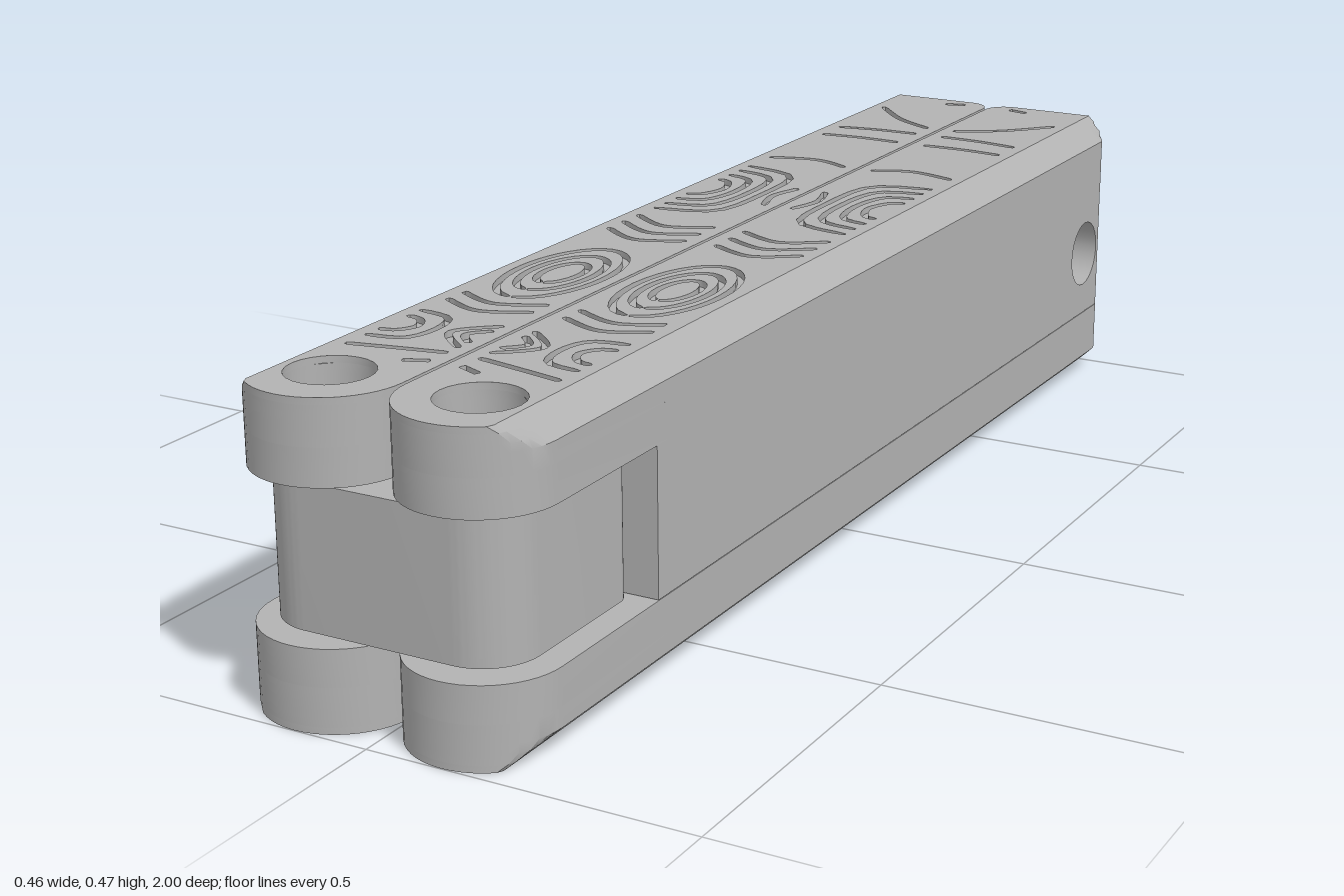
import * as THREE from 'three';
import { toCreasedNormals } from 'three/addons/utils/BufferGeometryUtils.js';

const H = 0.467;                       // overall height
const IN = 0.003, OUT = 0.231;         // inner and outer faces of a handle
const PX = 0.117, PZ = 0.885;          // pivot centre
const R = 0.04;                        // rounding of the rear corners

// Circle path in shape coordinates
const circle = (x, y, r) => new THREE.Path().absarc(x, y, r, 0, Math.PI * 2, true);

// Hexagon path around the pivot
function hexagon(r) {
  const pts = [];
  for (let i = 0; i < 6; i++) {
    const a = -i * Math.PI / 3;
    pts.push(new THREE.Vector2(PX + r * Math.cos(a), -PZ + r * Math.sin(a)));
  }
  return new THREE.Path(pts);
}

// Plan outline of one handle, drawn as (x, -z)
function handleShape(holes) {
  const s = new THREE.Shape();
  s.absarc(PX, -PZ, 0.114, Math.PI, Math.PI * 2, false);
  s.absarc(OUT - R, 1 - R, R, 0, Math.PI / 2, false);
  s.absarc(IN + R, 1 - R, R, Math.PI / 2, Math.PI, false);
  s.closePath();
  s.holes = holes;
  return s;
}

// Extrude through a list of levels, then apply a rule to every vertex
function extrude(shape, levels, alongX, rule) {
  const n = levels.length - 1;
  const g = new THREE.ExtrudeGeometry(shape, { depth: 1, steps: n, bevelEnabled: false, curveSegments: 12 });
  const p = g.attributes.position;
  for (let i = 0; i < p.count; i++) {
    const level = levels[Math.round(p.getZ(i) * n)];
    const v = alongX
      ? new THREE.Vector3(level, p.getY(i), -p.getX(i))
      : new THREE.Vector3(p.getX(i), level, -p.getY(i));
    if (rule) rule(v);
    p.setXYZ(i, v.x, v.y, v.z);
  }
  return g;
}

// Mirror a triangle soup in x and/or y, keeping faces outward
function mirrored(geo, sx, sy) {
  const g = geo.index ? geo.toNonIndexed() : geo.clone();
  const p = g.attributes.position;
  for (let i = 0; i < p.count; i++) {
    p.setXYZ(i, sx * p.getX(i), sy < 0 ? H - p.getY(i) : p.getY(i), p.getZ(i));
  }
  if (sx * sy < 0) {
    const a = new THREE.Vector3(), b = new THREE.Vector3();
    for (let i = 0; i < p.count; i += 3) {
      a.fromBufferAttribute(p, i + 1);
      b.fromBufferAttribute(p, i + 2);
      p.setXYZ(i + 1, b.x, b.y, b.z);
      p.setXYZ(i + 2, a.x, a.y, a.z);
    }
  }
  g.deleteAttribute('uv');
  g.computeVertexNormals();
  return toCreasedNormals(g, 0.5);
}

// Straight chamfer along the outer edge
const chamfer = v => { v.x = Math.min(v.x, OUT - Math.max(0, v.y - 0.43) * 1.08); };

// Rounded rear corners for parts extruded sideways
function roundRear(v) {
  const d = Math.max(0, R - Math.min(v.x - IN, OUT - v.x));
  v.z = Math.max(v.z, -1 + R - Math.sqrt(Math.max(0, R * R - d * d)));
}

// Thin closed path around a flowing line given as x, z pairs
function groove(c) {
  const pts = [];
  for (let i = 0; i < c.length; i += 2) pts.push(new THREE.Vector2(c[i], -c[i + 1]));
  const curve = new THREE.SplineCurve(pts), left = [], right = [], n = c.length > 12 ? 32 : 14;
  for (let i = 0; i <= n; i++) {
    const p = curve.getPoint(i / n), t = curve.getTangent(i / n);
    const w = i === 0 || i === n ? 0.003 : 0.0055;
    left.push(new THREE.Vector2(p.x - t.y * w, p.y + t.x * w));
    right.unshift(new THREE.Vector2(p.x + t.y * w, p.y - t.x * w));
  }
  return new THREE.Path([...left, ...right]);
}

// Engraved contour lines of one handle face
function contourLines() {
  const lines = [
    [0.045, -0.975, 0.08, -0.965],
    [0.17, -0.885, 0.1, -0.81, 0.025, -0.765],
    [0.17, -0.7, 0.1, -0.712, 0.025, -0.715],
    [0.17, -0.635, 0.1, -0.642, 0.025, -0.64],
    [0.17, -0.435, 0.09, -0.455, 0.025, -0.43],
    [0.025, -0.26, 0.04, -0.2, 0.025, -0.14],
    [0.17, 0.78, 0.1, 0.765, 0.025, 0.75],
    [0.025, 0.79, 0.06, 0.805],
  ];
  const bay = (x, z, h) => lines.push([0.17, z - h, x + 0.015, z - 0.8 * h, x, z, x + 0.015, z + 0.8 * h, 0.17, z + h]);
  for (let k = 0; k < 4; k++) bay(0.06 + 0.024 * k, -0.2, 0.16 - 0.035 * k);
  bay(0.1, 0.67, 0.065);
  bay(0.13, 0.67, 0.035);
  for (const d of [0.02, 0.065, 0.11]) lines.push([0.17, d - 0.01, 0.1, d + 0.03, 0.025, d]);
  for (const d of [0.5, 0.54]) lines.push([0.17, d, 0.1, d + 0.03, 0.025, d]);
  for (const r of [0.03, 0.055]) lines.push([0.025, 0.67 - r, 0.02 + r, 0.67, 0.025, 0.67 + r]);
  // Nested rings, each with a hairline break
  for (const r of [0.028, 0.049, 0.07]) {
    const ring = [];
    for (let i = 0; i <= 16; i++) {
      const a = 0.04 + (i / 16) * (Math.PI * 2 - 0.08) + Math.PI / 2;
      ring.push(0.097 + r * Math.cos(a), 0.35 + 2 * r * Math.sin(a));
    }
    lines.push(ring);
  }
  return lines.map(groove);
}

export function createModel() {
  const model = new THREE.Group();
  const grey = new THREE.MeshStandardMaterial({ color: 0xb2b2b2 });
  grey.name = 'metal grey';
  const add = (name, geo, parent = model) => {
    const m = new THREE.Mesh(geo, grey);
    m.name = name;
    parent.add(m);
  };

  // Middle of the handle, with a round side pocket
  const core = new THREE.Shape([[-0.64, 0.123], [1, 0.123], [1, 0.345], [-0.64, 0.345]].map(a => new THREE.Vector2(...a)));
  core.holes = [circle(0.9, 0.235, 0.058)];
  const arc = [0, 1, 2, 3, 4, 5, 6].map(i => R * (1 - Math.cos(i * Math.PI / 12)));
  const levels = [...arc.map(d => IN + d), ...arc.map(d => OUT - d).reverse()];
  const coreGeo = extrude(core, levels, true, roundRear);
  const magnet = new THREE.CylinderGeometry(0.058, 0.058, 0.16, 32).rotateZ(Math.PI / 2).translate(0.081, 0.235, -0.9);

  // Upper or lower arm, in three layers
  const armInner = extrude(handleShape([circle(PX, -PZ, 0.035)]), [0.345, 0.4], false);
  const armOuter = h => extrude(handleShape([h]), [0.4, 0.43, 0.443, 0.457], false, chamfer);
  const armFace = h => extrude(handleShape([h, ...contourLines()]), [0.457, H], false, chamfer);
  const ring = new THREE.Shape().absarc(PX, -PZ, 0.046, 0, Math.PI * 2, false);
  ring.holes = [circle(PX, -PZ, 0.035)];
  const washer = extrude(ring, [0.339, 0.346], false);

  for (const sx of [1, -1]) {
    const handle = new THREE.Group();
    handle.name = sx > 0 ? 'leftHandle' : 'rightHandle';
    model.add(handle);
    add('handleCore', mirrored(coreGeo, sx, 1), handle);
    add('magnet', mirrored(magnet, sx, 1), handle);
    for (const sy of [1, -1]) {
      const side = sy > 0 ? 'upper' : 'lower';
      const recess = () => (sy > 0 ? circle(PX, -PZ, 0.062) : hexagon(0.062));
      add(side + 'ArmInner', mirrored(armInner, sx, sy), handle);
      add(side + 'ArmOuter', mirrored(armOuter(recess()), sx, sy), handle);
      add(side + 'EngravedFace', mirrored(armFace(recess()), sx, sy), handle);
      add(side + 'Washer', mirrored(washer, sx, sy), handle);
    }
  }

  // Pivot block joining the two handles
  const block = new THREE.Shape();
  block.absarc(-PX, -PZ, 0.081, Math.PI, Math.PI * 1.5, false);
  block.absarc(PX, -PZ, 0.081, Math.PI * 1.5, Math.PI * 2, false);
  block.absarc(0.168, -0.685, 0.03, 0, Math.PI / 2, false);
  block.absarc(-0.168, -0.685, 0.03, Math.PI / 2, Math.PI, false);
  block.closePath();
  block.holes = [circle(PX, -PZ, 0.035), circle(-PX, -PZ, 0.035)];
  add('pivotBlock', mirrored(extrude(block, [0.13, 0.34], false), 1, 1));

  // Thin spine between the handles
  add('spine', new THREE.BoxGeometry(0.006, 0.37, 1.4).translate(0, 0.235, -0.1));
  return model;
}
